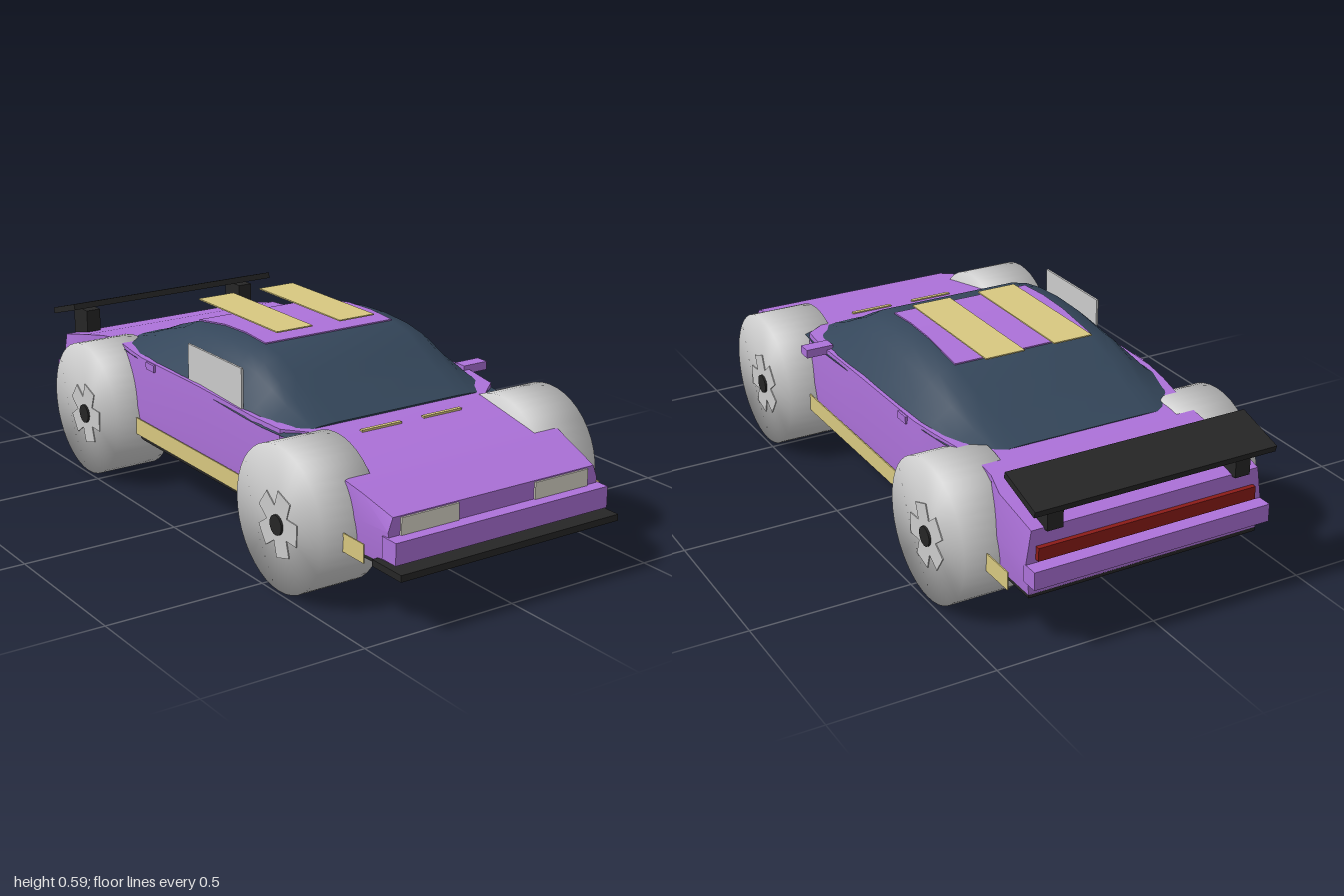
import * as THREE from 'three';
import { mergeVertices, toCreasedNormals } from 'three/addons/utils/BufferGeometryUtils.js';

const mat = (color, extra = {}) => new THREE.MeshStandardMaterial({ color, ...extra });
const purple = mat(0xad72da);
const glass = mat(0x34465a);
const black = mat(0x262626);
const yellow = mat(0xd8c880, { side: THREE.DoubleSide });
const grey = mat(0xcccccc, { side: THREE.DoubleSide });
const red = mat(0x8c1c18);
const lamp = mat(0xdcd9cc);

// Closed skin through mirrored cross-sections, ordered front to back.
// Each section is { z, half: [[x, y], ...] } listed from bottom to top.
function loft(sections, crease) {
  const pos = [], index = [];
  const n = sections[0].half.length * 2;
  for (const { z, half } of sections) {
    const mirrored = half.map(([x, y]) => [-x, y]).reverse();
    for (const [x, y] of [...half, ...mirrored]) pos.push(x, y, z);
  }
  const last = (sections.length - 1) * n;
  for (let i = 0; i < last; i += n) {
    for (let j = 0; j < n; j++) {
      const k = (j + 1) % n;
      index.push(i + j, i + n + j, i + k, i + k, i + n + j, i + n + k);
    }
  }
  for (let j = 1; j < n - 1; j++) index.push(0, j, j + 1, last, last + j + 1, last + j);
  const g = new THREE.BufferGeometry();
  g.setAttribute('position', new THREE.Float32BufferAttribute(pos, 3));
  g.setIndex(index);
  return toCreasedNormals(g, crease);
}

export function createModel() {
  const car = new THREE.Group();
  car.name = 'raceCar';

  const add = (name, geometry, material, parent = car) => {
    const mesh = new THREE.Mesh(geometry, material);
    mesh.name = name;
    parent.add(mesh);
    return mesh;
  };
  // Box given by its limits on each axis
  const box = (name, material, [x0, x1], [y0, y1], [z0, z1]) => {
    const mesh = add(name, new THREE.BoxGeometry(x1 - x0, y1 - y0, z1 - z0), material);
    mesh.position.set((x0 + x1) / 2, (y0 + y1) / 2, (z0 + z1) / 2);
    return mesh;
  };

  // Body shell: z, lower half width, upper half width, top height
  const bodyRows = [
    [0.92, 0.37, 0.355, 0.31], [0.80, 0.38, 0.37, 0.345], [0.735, 0.385, 0.38, 0.362],
    [0.71, 0.30, 0.30, 0.368], [0.49, 0.30, 0.30, 0.41], [0.42, 0.39, 0.385, 0.418],
    [0.30, 0.412, 0.40, 0.425], [0, 0.415, 0.41, 0.44], [-0.35, 0.415, 0.405, 0.437],
    [-0.45, 0.40, 0.39, 0.435], [-0.62, 0.355, 0.355, 0.428], [-0.71, 0.355, 0.355, 0.415],
    [-0.79, 0.385, 0.375, 0.402], [-0.95, 0.385, 0.37, 0.365],
  ];
  add('body', loft(bodyRows.map(([z, w, wt, y]) => ({
    z, half: [[w - 0.01, 0.17], [w, 0.27], [wt, y]],
  })), 0.45), purple);

  // Black floor follows the same plan
  add('floor', loft(bodyRows.map(([z, w]) => ({
    z, half: [[w - 0.01, 0.16], [w - 0.01, 0.172]],
  })), 0.3), black);

  // Cabin: z, base height, top height, base half width
  const cabinRows = [
    [0.46, 0.40, 0.418, 0.385], [0.35, 0.405, 0.468, 0.40], [0.27, 0.41, 0.512, 0.405],
    [0.19, 0.415, 0.552, 0.407], [0.11, 0.42, 0.567, 0.408], [0, 0.425, 0.574, 0.408],
    [-0.12, 0.425, 0.570, 0.408], [-0.28, 0.425, 0.548, 0.405], [-0.40, 0.425, 0.508, 0.40],
    [-0.52, 0.42, 0.462, 0.38], [-0.62, 0.41, 0.430, 0.355],
  ];
  const cabinShape = [[1, 0], [0.9, 0.33], [0.78, 0.72], [0.71, 0.9], [0.57, 1]];
  add('cabin', loft(cabinRows.map(([z, base, top, w]) => ({
    z, half: cabinShape.map(([fx, fy]) => [fx * w, base + fy * (top - base)]),
  })), 0.6), glass);

  // Roof panel hugging the roof curve
  add('roofPanel', loft(cabinRows.slice(4, 8).map(([z, , top]) => ({
    z, half: [[0.233, top - 0.02], [0.233, top + 0.004]],
  })), 0.4), purple);

  // Bumpers, splitter, tail strip
  box('frontBumper', purple, [-0.375, 0.375], [0.19, 0.255], [0.90, 0.962]);
  box('frontSplitter', black, [-0.385, 0.385], [0.16, 0.18], [0.87, 1.0]);
  box('rearBumper', purple, [-0.385, 0.385], [0.21, 0.265], [-0.995, -0.935]);
  box('tailLight', red, [-0.355, 0.355], [0.275, 0.315], [-0.965, -0.94]);

  // Rear wing
  const wing = add('rearWing', new THREE.BoxGeometry(0.78, 0.02, 0.164), black);
  wing.position.set(0, 0.464, -0.92);
  wing.rotation.x = -0.29;

  // Mirrored details
  for (const s of [1, -1]) {
    const side = (a, b) => (s > 0 ? [a, b] : [-b, -a]);
    box('headlight', lamp, side(0.135, 0.33), [0.253, 0.306], [0.90, 0.926]);
    box('wingSupport', black, side(0.28, 0.33), [0.36, 0.458], [-0.965, -0.87]);
    box('roofStripe', yellow, side(0.05, 0.18), [0.588, 0.592], [-0.37, 0.09]);
    box('hoodStripe', yellow, side(0.04, 0.18), [0.40, 0.408], [0.522, 0.535]);
    box('sideStripe', yellow, side(0.417, 0.421), [0.18, 0.235], [-0.915, 0.88]);
    box('doorHandle', purple, side(0.39, 0.413), [0.412, 0.435], [-0.31, -0.26]);
  }
  box('mirror', purple, [0.38, 0.47], [0.413, 0.44], [0.25, 0.295]);
  box('windowPlate', grey, [-0.397, -0.39], [0.42, 0.552], [-0.07, 0.235]);

  // Wheels: softly shaded drum, five-spoke rim and hub cap
  const tyre = new THREE.CylinderGeometry(0.217, 0.217, 0.195, 40);
  tyre.rotateZ(Math.PI / 2);
  tyre.deleteAttribute('normal');
  tyre.deleteAttribute('uv');
  const softTyre = mergeVertices(tyre);
  softTyre.computeVertexNormals();
  const spoke = new THREE.BoxGeometry(0.006, 0.095, 0.065);
  spoke.translate(0, 0.048, 0);
  const hub = new THREE.CylinderGeometry(0.03, 0.03, 0.02, 20);
  hub.rotateZ(Math.PI / 2);
  for (const s of [1, -1]) {
    for (const z of [0.57, -0.585]) {
      const wheel = new THREE.Group();
      wheel.name = 'wheel';
      wheel.position.set(s * 0.392, 0.218, z);
      add('tyre', softTyre, grey, wheel);
      for (let i = 0; i < 5; i++) {
        const arm = add('rimSpoke', spoke, grey, wheel);
        arm.position.set(s * 0.0975, -0.016, 0);
        arm.rotation.x = 0.35 + (i * Math.PI * 2) / 5;
      }
      add('hubCap', hub, black, wheel).position.set(s * 0.097, -0.016, 0);
      car.add(wheel);
    }
  }
  return car;
}
